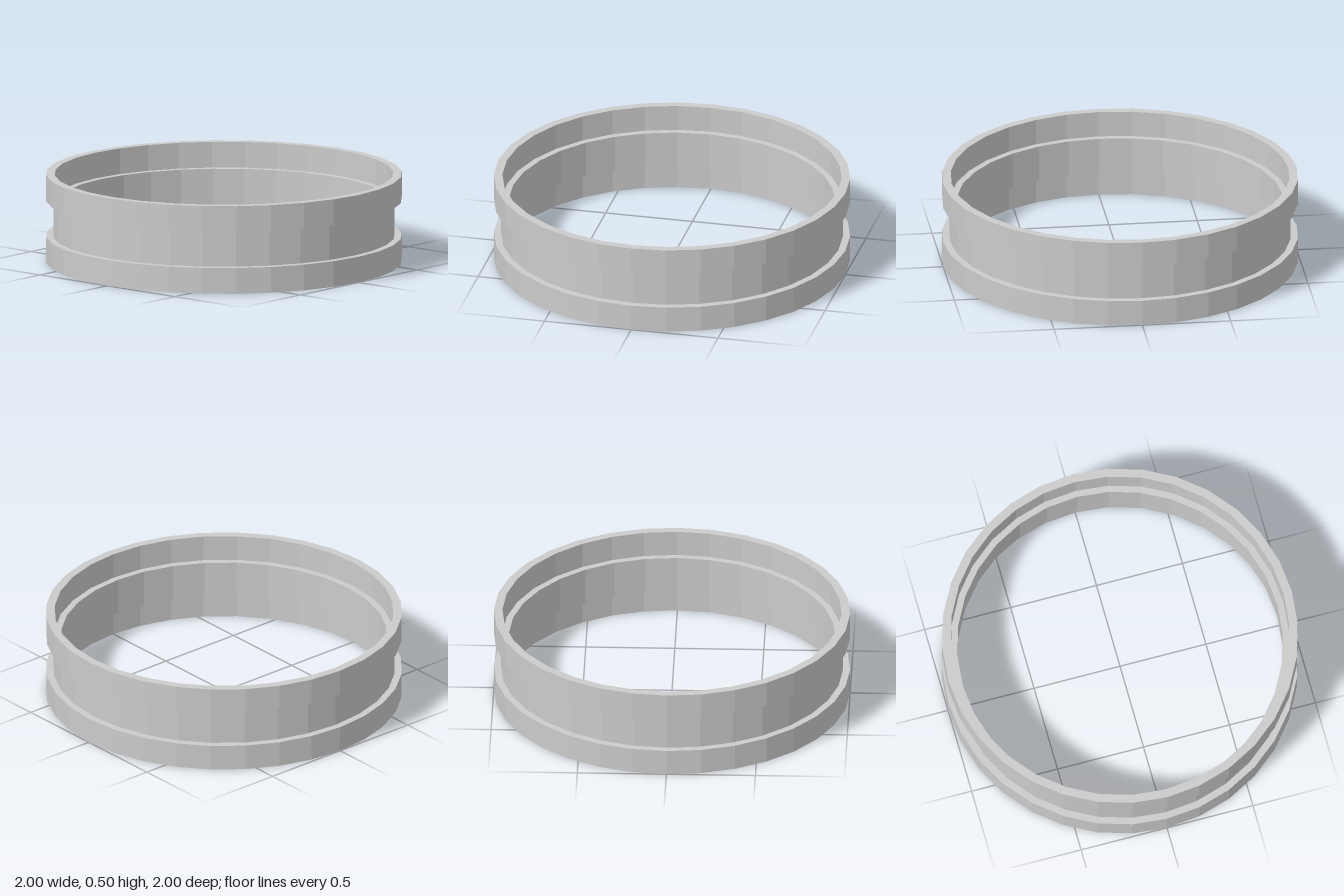
import * as THREE from 'three';

const SIDES = 32;
const HEIGHT = 0.5;
const RIM = { outer: 1, inner: 0.952 };
const WAIST = { outer: 0.96, inner: 0.915, bottom: 0.147, top: 0.353 };

export function createModel() {
  const group = new THREE.Group();
  group.name = 'groovedRing';

  // Closed cross-section: up the outside, then down the inside
  const profile = [
    [RIM.outer, 0],
    [RIM.outer, WAIST.bottom],
    [WAIST.outer, WAIST.bottom],
    [WAIST.outer, WAIST.top],
    [RIM.outer, WAIST.top],
    [RIM.outer, HEIGHT],
    [RIM.inner, HEIGHT],
    [RIM.inner, WAIST.top],
    [WAIST.inner, WAIST.top],
    [WAIST.inner, WAIST.bottom],
    [RIM.inner, WAIST.bottom],
    [RIM.inner, 0],
    [RIM.outer, 0],
  ].map(([r, y]) => new THREE.Vector2(r, y));

  // Ring with two wide rims and a narrower waist between them
  const ring = new THREE.Mesh(
    new THREE.LatheGeometry(profile, SIDES),
    new THREE.MeshStandardMaterial({ color: 0xcccccc, flatShading: true })
  );
  ring.name = 'ringBand';
  group.add(ring);

  return group;
}
